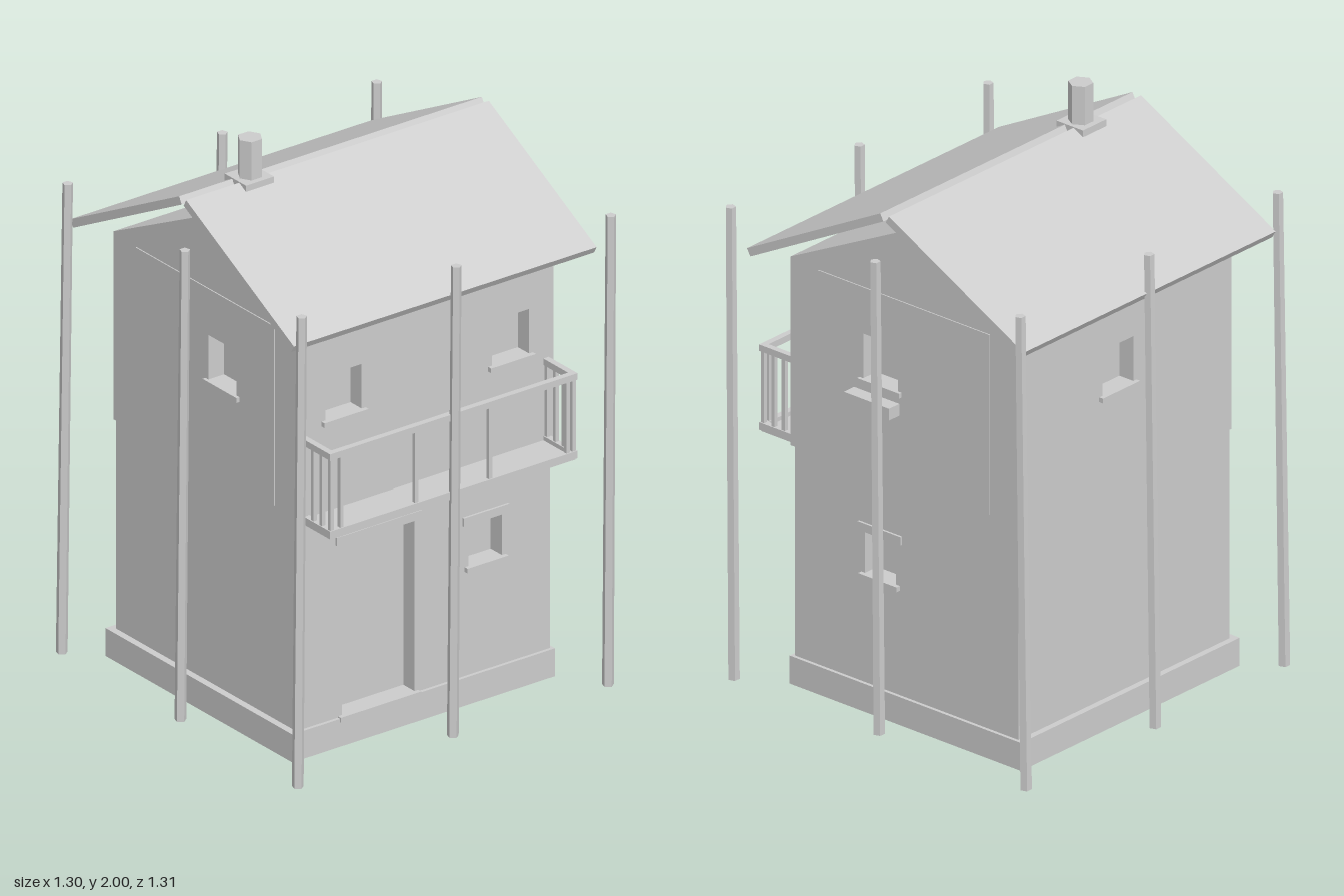
import * as THREE from 'three';

const CX = 0.005, CZ = -0.02, RECESS = 0.06;
const plaster = new THREE.MeshStandardMaterial({ color: 0xcccccc });
plaster.name = 'pale grey';

function add(parent, name, geometry) {
  const mesh = new THREE.Mesh(geometry, plaster);
  mesh.name = name;
  parent.add(mesh);
  return mesh;
}

// Box given by its lower and upper limits on each axis
function box(parent, name, x0, x1, y0, y1, z0, z1) {
  const mesh = add(parent, name, new THREE.BoxGeometry(x1 - x0, y1 - y0, z1 - z0));
  mesh.position.set((x0 + x1) / 2, (y0 + y1) / 2, (z0 + z1) / 2);
  return mesh;
}

// Prism along x from a profile of [z, y] points
function prismX(parent, name, points, x0, x1) {
  const shape = new THREE.Shape(points.map(([z, y]) => new THREE.Vector2(-z, y)));
  const geometry = new THREE.ExtrudeGeometry(shape, { depth: x1 - x0, bevelEnabled: false });
  geometry.rotateY(Math.PI / 2).translate(x0, 0, 0);
  return add(parent, name, geometry);
}

function rectangle(Type, u0, u1, v0, v1) {
  return new Type([[u0, v0], [u1, v0], [u1, v1], [u0, v1]].map(([u, v]) => new THREE.Vector2(u, v)));
}

// Wall with recessed openings; local z = 0 is its outer face
function wall(parent, name, halfWidth, y0, y1, openings) {
  const shape = rectangle(THREE.Shape, -halfWidth, halfWidth, y0, y1);
  const group = new THREE.Group();
  group.name = name;
  for (const o of openings) {
    const [u0, u1, v0, v1] = o.rect;
    shape.holes.push(rectangle(THREE.Path, u0, u1, v0, v1));
    const out = o.sillDepth ?? 0.016;
    box(group, 'sill', u0 - 0.016, u1 + 0.016, v0 - 0.017, v0, -0.02, out);
    if (o.lintel) box(group, 'lintel', u0 - 0.025, u1 + 0.025, v1 + 0.005, v1 + 0.035, -0.01, 0.008);
    if (o.panel) box(group, 'doorPanel', u0, u1, v0, v1, -RECESS, -0.02);
  }
  const geometry = new THREE.ExtrudeGeometry(shape, { depth: RECESS, bevelEnabled: false });
  add(group, name + 'Face', geometry.translate(0, 0, -RECESS));
  parent.add(group);
  return group;
}

// Four walls around a solid core; openings are local to each wall
function storey(parent, name, halfX, back, front, y0, y1, openings) {
  const group = new THREE.Group();
  group.name = name;
  parent.add(group);
  const halfZ = (front - back) / 2, midZ = (front + back) / 2;
  box(group, 'core', CX - halfX + RECESS, CX + halfX - RECESS, y0, y1, back + RECESS, front - RECESS);
  const sides = [
    ['frontWall', halfX, 0, CX, front], ['backWall', halfX, Math.PI, CX, back],
    ['leftWall', halfZ, Math.PI / 2, CX + halfX, midZ], ['rightWall', halfZ, -Math.PI / 2, CX - halfX, midZ],
  ];
  const walls = {};
  for (const [side, half, turn, x, z] of sides) {
    const w = wall(group, side, half, y0, y1, openings[side] ?? []);
    w.rotation.y = turn;
    w.position.set(x, 0, z);
    walls[side] = w;
  }
  return walls;
}

function createBalcony(parent) {
  const group = new THREE.Group();
  group.name = 'balcony';
  parent.add(group);
  const x0 = -0.5, x1 = 0.505, front = 0.626, back = 0.465, w = 0.022;
  box(group, 'balconyFloor', x0 + 0.005, x1 - 0.005, 0.845, 0.862, back, front - 0.005);
  for (const [name, y0, y1] of [['topRail', 1.132, 1.155], ['bottomRail', 0.85, 0.877]]) {
    box(group, name, x0, x1, y0, y1, front - w, front);
    box(group, name, x0, x0 + w, y0, y1, back, front);
    box(group, name, x1 - w, x1, y0, y1, back, front);
  }
  const post = (x, z) => box(group, 'baluster', x - 0.007, x + 0.007, 0.86, 1.14, z - 0.007, z + 0.007);
  for (const x of [-0.449, -0.145, 0.155, 0.47]) post(x, front - 0.011);
  for (const x of [x0 + 0.011, x1 - 0.011])
    for (const z of [0.48, 0.525, 0.57, 0.615]) post(x, z);
}

function createRoof(parent) {
  const group = new THREE.Group();
  group.name = 'roof';
  parent.add(group);
  // Profile of the front slab, mirrored across the ridge for the back
  const slab = [[0, 1.86], [-0.013, 1.835], [0.562, 1.53], [0.577, 1.555]];
  prismX(group, 'frontRoofSlab', slab, -0.61, 0.62);
  prismX(group, 'backRoofSlab', slab.map(([z, y]) => [-0.037 - z * 1.01, y]).reverse(), -0.61, 0.62);
  // Chimney
  box(group, 'chimneyBase', -0.394, -0.28, 1.77, 1.863, -0.078, 0.036);
  const flue = new THREE.CylinderGeometry(0.042, 0.042, 0.18, 6).toNonIndexed();
  flue.computeVertexNormals();
  flue.rotateY(Math.PI / 6);
  add(group, 'chimneyFlue', flue).position.set(-0.335, 1.91, -0.02);
}

// Slightly leaning poles around the house
function createPoles(parent) {
  const group = new THREE.Group();
  group.name = 'scaffoldPoles';
  parent.add(group);
  const up = new THREE.Vector3(0, 1, 0);
  for (const i of [-1, 0, 1]) for (const k of [-1, 0, 1]) {
    if (i === 0 && k === 0) continue;
    const bottom = new THREE.Vector3(i * 0.63 - 0.003, 0.002, k < 0 ? -0.635 : k * 0.628);
    const top = new THREE.Vector3(i * 0.628 + 0.004, 1.69, k < 0 ? -0.615 : k * 0.637 + 0.012 * (1 - k));
    const axis = top.clone().sub(bottom);
    const geometry = new THREE.CylinderGeometry(0.018, 0.02, axis.length(), 5).toNonIndexed();
    geometry.computeVertexNormals();
    const pole = add(group, 'pole', geometry);
    pole.position.copy(bottom).add(top).multiplyScalar(0.5);
    pole.quaternion.setFromUnitVectors(up, axis.normalize());
  }
}

export function createModel() {
  const house = new THREE.Group();
  house.name = 'house';

  box(house, 'plinth', -0.535, 0.532, 0, 0.1, -0.53, 0.47);

  // Lower storey
  storey(house, 'lowerStorey', 0.515, -0.508, 0.458, 0.1, 0.85, {
    frontWall: [
      { rect: [-0.33, -0.035, 0.105, 0.715], lintel: true },
      { rect: [0.185, 0.32, 0.49, 0.635], lintel: true },
    ],
    leftWall: [{ rect: [-0.18, -0.045, 0.49, 0.635], lintel: true }],
  });

  // Upper storey, overhanging a little
  const upper = storey(house, 'upperStorey', 0.52, -0.513, 0.472, 0.85, 1.525, {
    frontWall: [
      { rect: [-0.407, -0.26, 1.19, 1.35] },
      { rect: [0.27, 0.42, 1.19, 1.35] },
      { rect: [-0.13, 0.125, 0.853, 1.46], panel: true },
    ],
    backWall: [{ rect: [-0.11, 0.04, 1.19, 1.35] }],
    leftWall: [{ rect: [-0.175, -0.025, 1.19, 1.35] }],
    rightWall: [{ rect: [0.02, 0.17, 1.19, 1.35] }],
  });

  // Raised thin panel around each side window
  for (const [side, u0, u1] of [['leftWall', -0.175, -0.025], ['rightWall', 0.02, 0.17]]) {
    const shape = rectangle(THREE.Shape, -0.37, 0.37, 0.87, 1.515);
    shape.holes.push(rectangle(THREE.Path, u0, u1, 1.19, 1.35));
    add(upper[side], 'sidePanel', new THREE.ExtrudeGeometry(shape, { depth: 0.004, bevelEnabled: false }));
  }
  // Flower box under the left window
  box(upper.leftWall, 'flowerBox', -0.2, -0.005, 1.115, 1.157, 0.02, 0.07);

  prismX(house, 'gable', [[-0.513, 1.525], [CZ, 1.77], [0.472, 1.525]].reverse(), CX - 0.52, CX + 0.52);

  createBalcony(house);
  createRoof(house);
  createPoles(house);
  return house;
}
